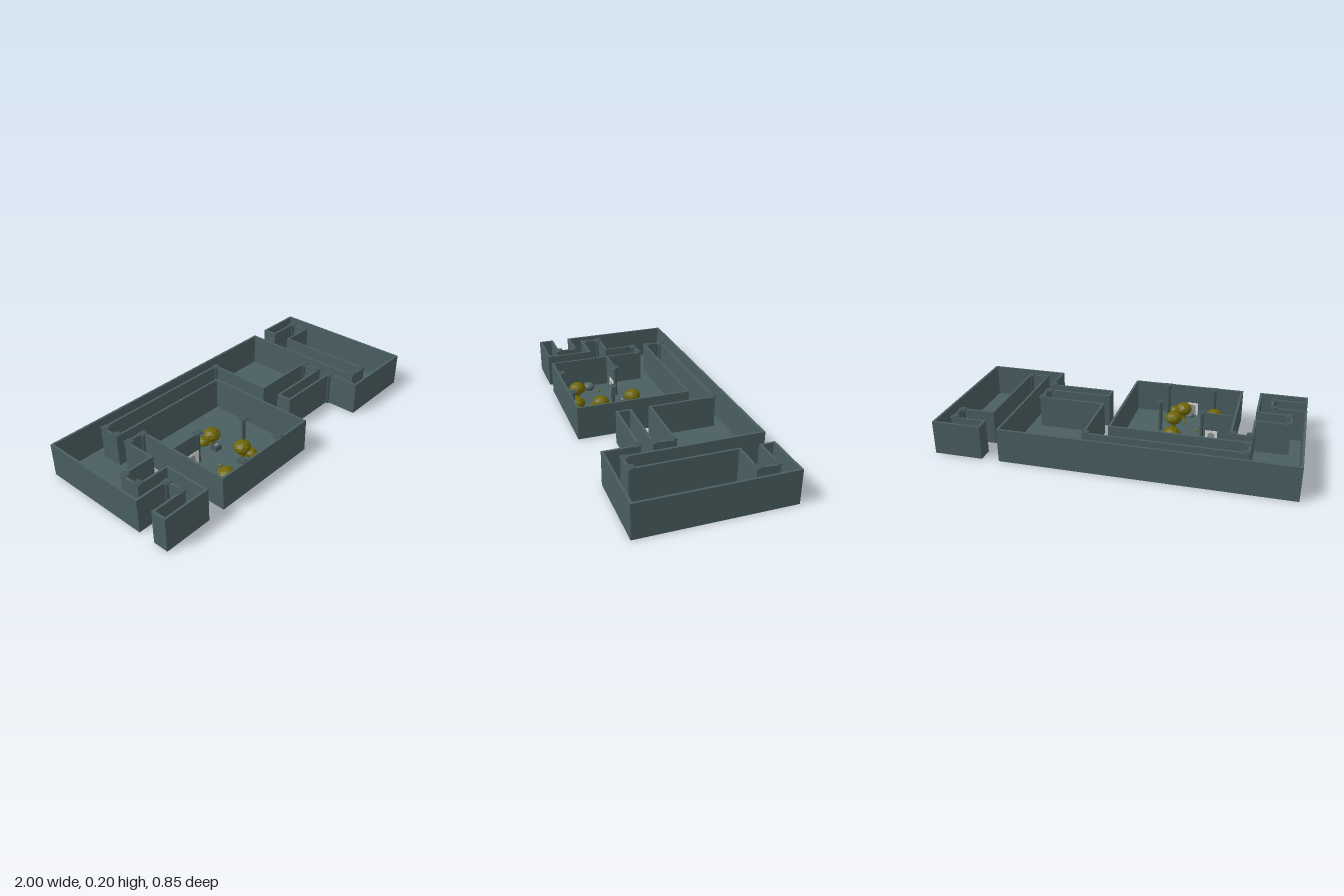
import * as THREE from 'three';

const mat = (name, color) => {
  const m = new THREE.MeshStandardMaterial({ color });
  m.name = name;
  return m;
};

// Floor plan corners on a 21 x 9 grid, column then row
const PLAN = [
  [0, 0], [17, 0], [17, 8], [18, 8], [18, 2], [20, 2], [20, 1], [18, 1], [18, 0], [21, 0], [21, 9],
  [16, 9], [16, 7], [12, 7], [12, 6], [16, 6], [16, 5], [12, 5], [12, 1], [3, 1], [3, 2], [11, 2],
  [11, 9], [4, 9], [4, 3], [3, 3], [3, 5], [1, 5], [1, 6], [3, 6], [3, 9], [0, 9], [0, 8], [2, 8],
  [2, 7], [0, 7],
];
const CELL = 2.006 / 21, MARGIN = 0.003, WALL = 0.013, WALL_TOP = 0.195, FLOOR = 0.008;

// Insets the right-angled plan; marks corners that turn into the rooms
function insetPlan(d) {
  const n = PLAN.length;
  return PLAN.map(([i, j], k) => {
    const a = PLAN[(k + n - 1) % n], b = PLAN[(k + 1) % n];
    const ux = Math.sign(i - a[0]), uz = Math.sign(j - a[1]);
    const vx = Math.sign(b[0] - i), vz = Math.sign(b[1] - j);
    return {
      x: (i - 10.5) * CELL - (uz + vz) * d,
      z: (j - 4.5) * CELL + (ux + vx) * d,
      reflex: ux * vz - uz * vx < 0,
    };
  });
}

const toPoints = (corners) => corners.map((c) => new THREE.Vector2(c.x, -c.z));

function slab(shape, depth) {
  const g = new THREE.ExtrudeGeometry(shape, { depth, bevelEnabled: false });
  return g.rotateX(-Math.PI / 2);
}

export function createModel() {
  const root = new THREE.Group();
  root.name = 'dungeonMap';
  const stone = mat('slate stone', 0x4a5e61);
  const pillarStone = mat('dark slate', 0x435558);
  const leaf = mat('olive foliage', 0x6d6604);
  const rockGrey = mat('grey rock', 0x566466);
  const pale = mat('pale plaster', 0xd8d8d4);
  const doorGrey = mat('door grey', 0x8c9495);

  const add = (parent, name, geo, material, x = 0, y = 0, z = 0) => {
    const m = new THREE.Mesh(geo, material);
    m.name = name;
    m.position.set(x, y, z);
    parent.add(m);
    return m;
  };

  // Floor and the wall running around the whole plan (hole wound against the outline)
  const outer = toPoints(insetPlan(MARGIN));
  add(root, 'floor', slab(new THREE.Shape(outer), FLOOR), stone);
  const ring = new THREE.Shape(outer);
  ring.holes.push(new THREE.Path(toPoints(insetPlan(MARGIN + WALL)).reverse()));
  add(root, 'walls', slab(ring, WALL_TOP - FLOOR), stone, 0, FLOOR, 0);

  // Pillars with square cap and round base
  const shaftGeo = new THREE.CylinderGeometry(0.011, 0.011, 0.19, 10);
  const capGeo = new THREE.CylinderGeometry(0.027, 0.03, 0.007, 4).rotateY(Math.PI / 4);
  const baseGeo = new THREE.CylinderGeometry(0.014, 0.014, 0.01, 10);
  const pillar = (x, z) => {
    const p = new THREE.Group();
    p.name = 'pillar';
    p.position.set(x, 0, z);
    add(p, 'shaft', shaftGeo, pillarStone, 0, 0.1, 0);
    add(p, 'cap', capGeo, pillarStone, 0, 0.1965, 0);
    add(p, 'base', baseGeo, pillarStone, 0, 0.006, 0);
    root.add(p);
  };
  insetPlan(0).filter((c) => c.reflex).forEach((c) => pillar(c.x, c.z));
  [[-0.165, 0.16], [-0.165, 0.4], [-0.45, 0.4], [-0.425, 0.068]].forEach(([x, z]) => pillar(x, z));

  // Partition wall
  add(root, 'partition', new THREE.BoxGeometry(0.185, WALL_TOP - FLOOR, 0.01), stone,
    -0.52, (WALL_TOP + FLOOR) / 2, 0.068);

  // Pale panel with an arched door
  const arch = new THREE.Shape();
  arch.moveTo(-0.02, 0).lineTo(0.02, 0).lineTo(0.02, 0.05);
  arch.absarc(0, 0.05, 0.02, 0, Math.PI, false);
  const archGeo = new THREE.ExtrudeGeometry(arch, { depth: 0.002, bevelEnabled: false, curveSegments: 6 });
  const panel = (x, z, w, turn) => {
    const g = new THREE.Group();
    g.name = 'archedPanel';
    g.position.set(x, FLOOR, z);
    g.rotation.y = turn;
    add(g, 'plate', new THREE.BoxGeometry(w, 0.08, 0.004), pale, 0, 0.04, 0);
    add(g, 'door', archGeo, doorGrey, 0, 0, 0.002);
    root.add(g);
  };
  panel(-0.482, 0.075, 0.1, 0);
  panel(-0.482, 0.061, 0.07, Math.PI);
  panel(-0.315, 0.409, 0.07, Math.PI);

  // Low pedestal with a pale top
  add(root, 'pedestal', new THREE.BoxGeometry(0.042, 0.03, 0.042), pillarStone, -0.285, FLOOR + 0.015, 0.065);
  add(root, 'pedestalTop', new THREE.BoxGeometry(0.022, 0.005, 0.012), doorGrey, -0.285, FLOOR + 0.032, 0.068);

  // Faceted bushes: large crown, smaller side crown, short stem
  const blob = new THREE.IcosahedronGeometry(1, 1);
  blob.computeVertexNormals();
  const faceted = (parent, name, material, r, x, y, z, squash = 0.8) => {
    const m = add(parent, name, blob, material, x, y, z);
    m.scale.set(r, r * squash, r);
    m.rotation.y = x * 9;
  };
  const stemGeo = new THREE.CylinderGeometry(0.01, 0.014, 0.05, 6);
  [
    [-0.262, 0.01, -0.315, 0.0], [-0.235, 0.215, -0.22, 0.265],
    [-0.465, 0.305, -0.52, 0.272], [-0.27, 0.355, -0.215, 0.372],
  ].forEach(([x, z, sx, sz]) => {
    const bush = new THREE.Group();
    bush.name = 'bush';
    faceted(bush, 'crown', leaf, 0.05, x, 0.068, z);
    faceted(bush, 'sideCrown', leaf, 0.034, sx, 0.045, sz);
    add(bush, 'stem', stemGeo, leaf, x, 0.03, z);
    root.add(bush);
  });

  // Rocks and scattered tufts
  faceted(root, 'rock', rockGrey, 0.038, -0.55, 0.03, 0.21, 0.75);
  faceted(root, 'smallRock', rockGrey, 0.018, -0.315, 0.018, 0.378, 0.75);
  [[-0.505, 0.16], [-0.38, 0.185], [-0.29, 0.28]].forEach(([x, z]) =>
    faceted(root, 'tuft', leaf, 0.011, x, 0.014, z));

  return root;
}
